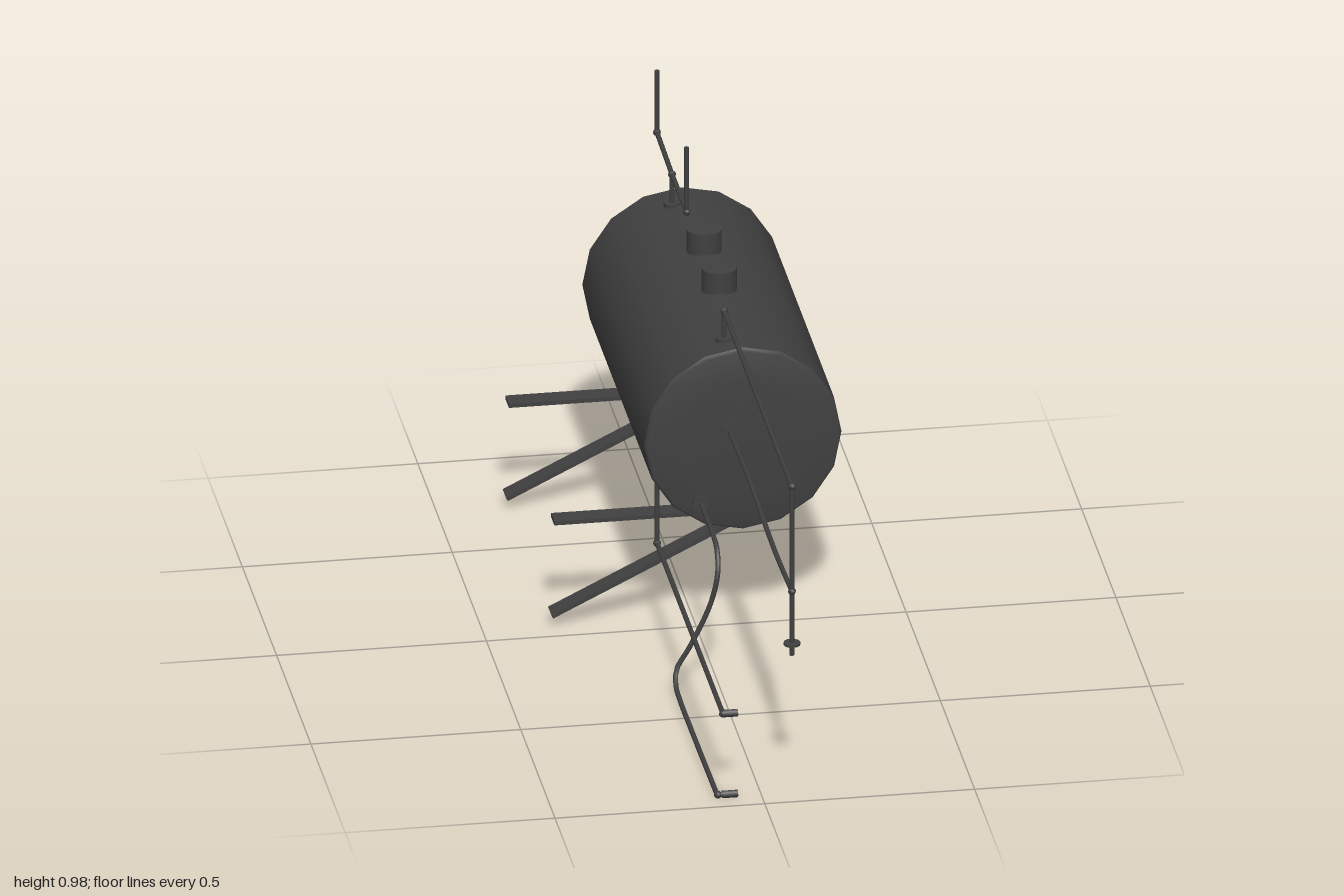
import * as THREE from 'three';

const R = 0.0062; // pipe radius
const v = (x, y, z) => new THREE.Vector3(x, y, z);

export function createModel() {
  const root = new THREE.Group();
  root.name = 'storageTank';
  const steel = new THREE.MeshStandardMaterial({ color: 0x404040 });
  steel.name = 'darkSteel';

  const add = (name, geometry, parent = root) => {
    const mesh = new THREE.Mesh(geometry, steel);
    mesh.name = name;
    parent.add(mesh);
    return mesh;
  };
  // Cylinder running between two points
  const rod = (name, a, b, radius = R, sides = 8, parent = root) => {
    const d = b.clone().sub(a);
    const mesh = add(name, new THREE.CylinderGeometry(radius, radius, d.length(), sides), parent);
    mesh.position.copy(a).addScaledVector(d, 0.5);
    mesh.quaternion.setFromUnitVectors(v(0, 1, 0), d.normalize());
    return mesh;
  };
  // Straight pipe lengths with a round fitting at each inner corner
  const pipe = (name, pts) => {
    const g = new THREE.Group();
    g.name = name;
    root.add(g);
    for (let i = 1; i < pts.length; i++) {
      rod('pipeLength', pts[i - 1], pts[i], R, 8, g);
      if (i < pts.length - 1) fitting(pts[i], g);
    }
    return g;
  };
  const fitting = (p, parent) =>
    add('elbow', new THREE.SphereGeometry(0.0095, 8, 6), parent).position.copy(p);
  const hose = (name, pts, segments) =>
    add(name, new THREE.TubeGeometry(new THREE.CatmullRomCurve3(pts, false, 'centripetal'), segments, R, 8));

  // Tank shell and shallow domed ends
  const cx = 0.102, cy = 0.51, front = 0.055, back = -0.848, rad = 0.235;
  const shell = add('tankShell', new THREE.CylinderGeometry(rad, rad, front - back, 16, 1, true).rotateX(Math.PI / 2));
  shell.position.set(cx, cy, (front + back) / 2);
  const dome = [[rad, 0], [0.228, 0.009], [0.15, 0.015], [0, 0.02]].map(p => new THREE.Vector2(...p));
  for (const [name, z, s] of [['frontEnd', front, 1], ['backEnd', back, -1]]) {
    add(name, new THREE.LatheGeometry(dome, 16).rotateX(s * Math.PI / 2)).position.set(cx, cy, z);
  }

  // Filler caps on top
  for (const z of [-0.29, -0.51]) rod('fillerCap', v(cx, 0.72, z), v(cx, 0.795, z), 0.042, 16);

  // Support bars, one level and one sloping at each end
  for (const z of [-0.074, -0.737]) {
    const support = new THREE.Group();
    support.name = 'support';
    support.position.z = z;
    root.add(support);
    add('levelBar', new THREE.BoxGeometry(0.476, 0.01, 0.049), support).position.set(-0.092, 0.272, 0);
    const slope = new THREE.Group();
    slope.name = 'slopingLeg';
    slope.position.set(-0.05, 0.17, 0);
    slope.rotation.z = Math.atan2(0.28, 0.57);
    support.add(slope);
    add('slopingBar', new THREE.BoxGeometry(0.635, 0.01, 0.049), slope);
    for (const x of [0.205, 0.297]) {
      add('footPad', new THREE.BoxGeometry(0.02, 0.012, 0.03), slope).position.set(x, -0.009, 0);
    }
  }

  // Front vent loop with drop pipe
  const px = 0.068, zEnd = 0.98;
  pipe('frontVent', [v(px, 0.73, -0.01), v(px, 0.812, -0.01), v(px, 0.808, 0.75),
    v(px, 0.812, zEnd), v(px, 0.375, zEnd)].filter((p, i) => i !== 2));
  const midJoint = new THREE.Group();
  midJoint.name = 'middleJoint';
  root.add(midJoint);
  fitting(v(px, 0.54, zEnd), midJoint);
  hose('middlePipe', [v(px, 0.54, zEnd), v(px, 0.53, 0.75), v(px, 0.535, 0.55),
    v(px, 0.544, 0.38), v(px, 0.538, 0.06)], 24);
  rod('dropFlange', v(px, 0.402, zEnd), v(px, 0.408, zEnd), 0.02, 12);
  rod('middleFlange', v(px, 0.54, 0.06), v(px, 0.54, 0.08), 0.02, 12);

  // Rear vent: riser, cross pipe and two uprights
  pipe('rearVent', [v(px, 0.985, -0.557), v(px, 0.818, -0.557), v(px, 0.817, -0.77),
    v(px, 0.825, -0.99), v(px, 0.985, -0.99)]);
  pipe('rearRiser', [v(px, 0.73, -0.77), v(px, 0.817, -0.77)]);
  for (const z of [-0.01, -0.77]) rod('ventFlange', v(px, 0.73, z), v(px, 0.745, z), 0.02, 12);

  // Side drain, falling from the shell and running forward
  pipe('sideDrain', [v(-0.092, 0.41, -0.01), v(-0.092, 0.222, -0.01), v(-0.092, 0.222, 0.953), v(-0.06, 0.222, 0.953)]);

  // Bent drain from the front end
  hose('frontDrain', [v(0, 0.355, 0.06), v(0, 0.355, 0.16), v(0, 0.354, 0.24), v(0, 0.343, 0.3),
    v(-0.003, 0.3, 0.334), v(-0.02, 0.22, 0.335), v(-0.07, 0.11, 0.335), v(-0.102, 0.055, 0.338),
    v(-0.108, 0.025, 0.365), v(-0.108, 0.015, 0.42), v(-0.108, 0.014, 0.6), v(-0.106, 0.013, 0.953)], 60);
  rod('drainFlange', v(0, 0.355, 0.055), v(0, 0.355, 0.075), 0.02, 12);
  pipe('drainTurn', [v(-0.106, 0.013, 0.94), v(-0.104, 0.013, 0.953), v(-0.06, 0.013, 0.953)]);
  for (const y of [0.222, 0.0125]) rod('drainOutlet', v(-0.094, y, 0.953), v(-0.057, y, 0.953), 0.0095);

  return root;
}
